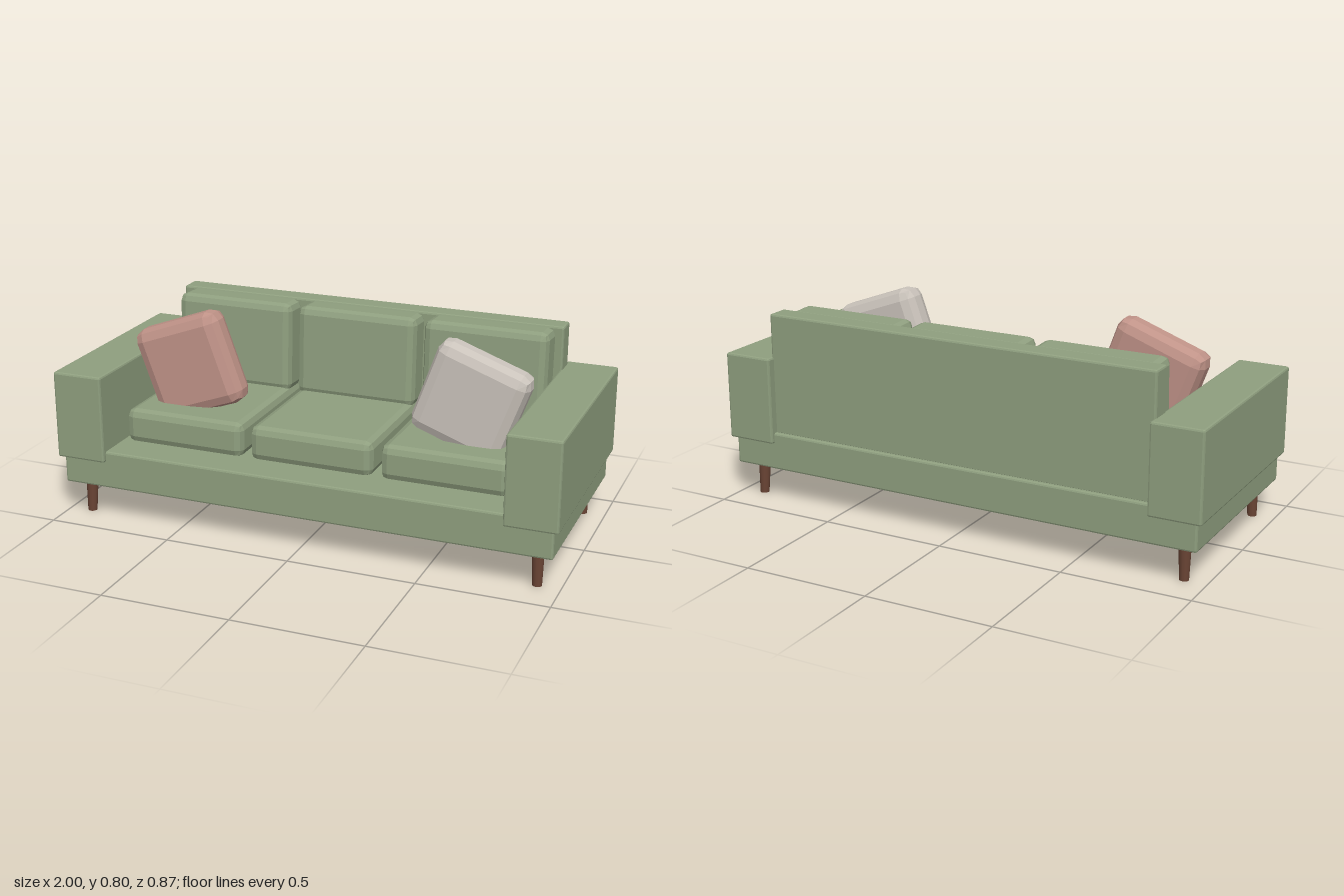
import * as THREE from 'three';
import { RoundedBoxGeometry } from 'three/addons/geometries/RoundedBoxGeometry.js';

function material(name, color) {
  const m = new THREE.MeshStandardMaterial({ color });
  m.name = name;
  return m;
}

export function createModel() {
  const sofa = new THREE.Group();
  sofa.name = 'sofa';

  const green = material('sage fabric', 0x8f9f7f);
  const pink = material('rose fabric', 0xc09388);
  const cream = material('cream fabric', 0xcac3bb);
  const wood = material('brown wood', 0x6b4535);

  // Box with faceted, bevelled edges
  function block(name, size, position, bevel, mat) {
    const geometry = new RoundedBoxGeometry(...size, 1, bevel);
    geometry.deleteAttribute('normal');
    geometry.computeVertexNormals();
    const mesh = new THREE.Mesh(geometry, mat);
    mesh.name = name;
    mesh.position.set(...position);
    sofa.add(mesh);
    return mesh;
  }

  // Frame
  block('base', [1.96, 0.15, 0.836], [0, 0.212, 0], 0.008, green);
  block('backrest', [1.614, 0.485, 0.09], [0, 0.5225, -0.355], 0.008, green);
  for (const [side, s] of [['left', 1], ['right', -1]]) {
    block(side + 'Arm', [0.203, 0.348, 0.87], [s * 0.8985, 0.419, 0], 0.008, green);
  }

  // Seat and back cushions
  ['right', 'middle', 'left'].forEach((place, i) => {
    const x = (i - 1) * 0.528;
    block(place + 'SeatCushion', [0.496, 0.138, 0.6], [x, 0.352, -0.015], 0.03, green);
    const back = block(place + 'BackCushion', [0.496, 0.362, 0.14], [x, 0.582, -0.252], 0.03, green);
    back.rotation.x = -0.05;
  });

  // Throw pillows, each leaning on one corner
  for (const [side, s, mat] of [['left', 1, cream], ['right', -1, pink]]) {
    const pillow = block(side + 'Pillow', [0.375, 0.375, 0.133], [s * 0.573, 0.574, 0.097], 0.045, mat);
    pillow.rotation.z = -s * 0.35;
  }

  // Tapered legs, splayed slightly outward
  const height = 0.14;
  for (const sx of [1, -1]) {
    for (const sz of [1, -1]) {
      const geometry = new THREE.CylinderGeometry(0.024, 0.018, height, 12);
      const leg = new THREE.Mesh(geometry, wood);
      leg.name = (sz > 0 ? 'front' : 'back') + (sx > 0 ? 'Left' : 'Right') + 'Leg';
      const p = geometry.attributes.position;
      for (let i = 0; i < p.count; i++) {
        const drop = 0.5 - p.getY(i) / height;
        p.setX(i, p.getX(i) + sx * 0.003 * drop);
        p.setZ(i, p.getZ(i) + sz * 0.006 * drop);
      }
      leg.position.set(sx * 0.908, height / 2, sz * 0.342);
      sofa.add(leg);
    }
  }

  return sofa;
}
